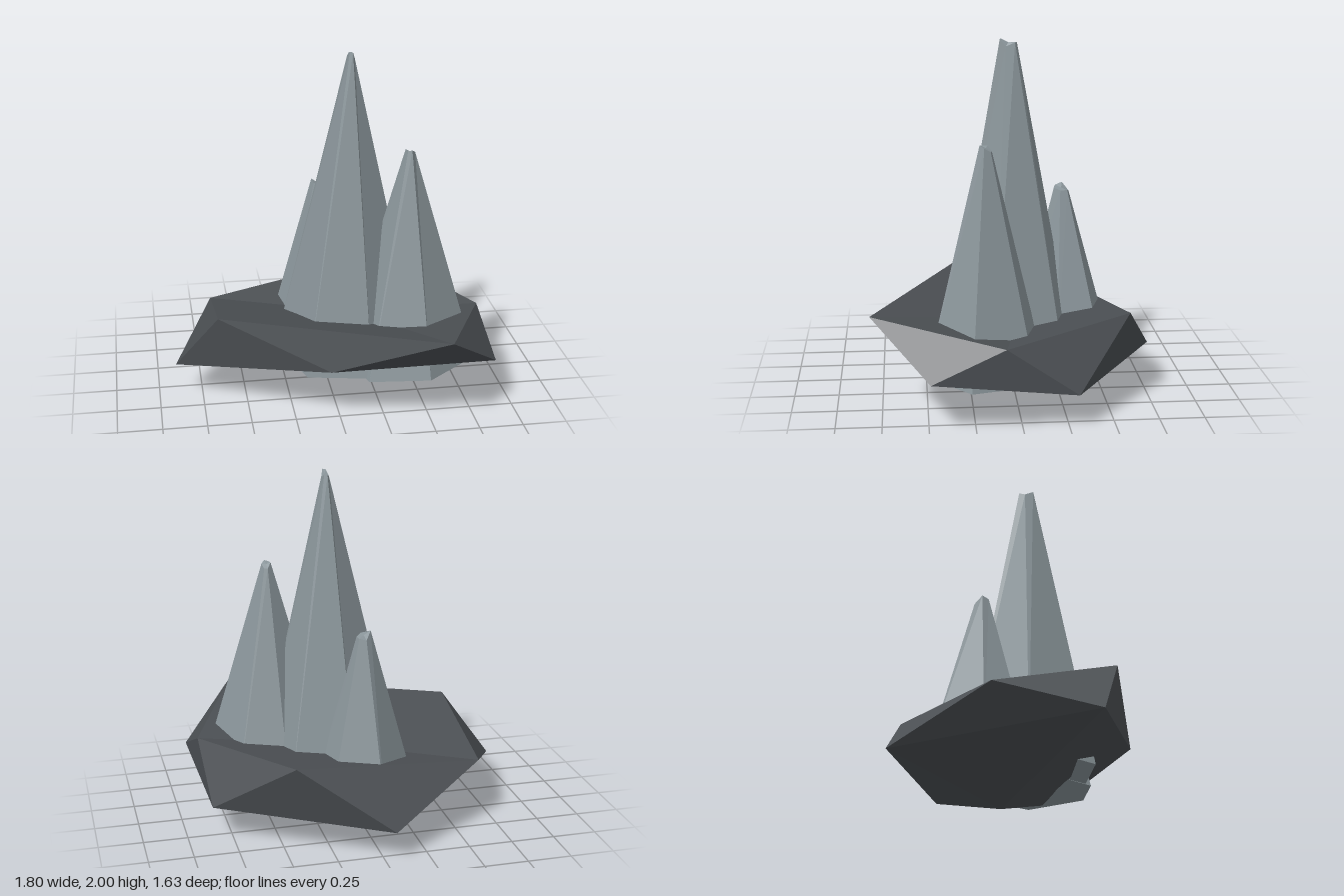
import * as THREE from 'three';

const rockMat = new THREE.MeshStandardMaterial({ color: 0x4b4f53 });
rockMat.name = 'darkRock';
const crystalMat = new THREE.MeshStandardMaterial({ color: 0x8a959a });
crystalMat.name = 'greyCrystal';

// Faceted mesh from a list of triangles, each a trio of [x, y, z] points
function facetedMesh(name, triangles, material) {
  const geometry = new THREE.BufferGeometry();
  geometry.setAttribute('position', new THREE.Float32BufferAttribute(triangles.flat(2), 3));
  geometry.computeVertexNormals(); // unshared corners give flat facets
  const mesh = new THREE.Mesh(geometry, material);
  mesh.name = name;
  return mesh;
}

// Rock: a distorted icosahedron with a top point, two rings of five and a bottom point
function makeRock() {
  const top = [0.13, 0.4, -0.04], bottom = [0.26, 0, -0.08];
  const upper = [
    [-0.66, 0.37, -0.42], [-0.66, 0.545, 0.27], [0.57, 0.56, 0.81],
    [0.88, 0.46, 0.09], [0.45, 0.51, -0.63],
  ];
  const lower = [
    [-0.9, 0.195, 0.1], [-0.06, 0.32, 0.58], [0.9, 0.28, 0.49],
    [0.86, 0.19, -0.3], [-0.06, 0.165, -0.82],
  ];
  const tris = [];
  for (let i = 0; i < 5; i++) {
    const j = (i + 1) % 5;
    tris.push(
      [top, upper[i], upper[j]],
      [upper[i], lower[i], upper[j]],
      [lower[i], lower[j], upper[j]],
      [bottom, lower[j], lower[i]],
    );
  }
  return facetedMesh('rockBase', tris, rockMat);
}

// Crystal: six-sided spike from a base ring of [x, y, z] to a small chipped tip
function makeCrystal(name, { base, center, tip, tipScale, tipHeights }) {
  const crown = base.map(([x, , z], i) => [
    tip[0] + (x - center[0]) * tipScale[0],
    tipHeights[i],
    tip[1] + (z - center[1]) * tipScale[1],
  ]);
  const mean = tipHeights.reduce((a, b) => a + b) / 6;
  const tipMid = [tip[0], mean, tip[1]];
  const baseMid = [center[0], 0.18, center[1]];
  const tris = [];
  for (let i = 0; i < 6; i++) {
    const j = (i + 1) % 6;
    tris.push(
      [base[i], base[j], crown[j]],
      [base[i], crown[j], crown[i]],
      [tipMid, crown[i], crown[j]],
      [baseMid, base[j], base[i]],
    );
  }
  return facetedMesh(name, tris, crystalMat);
}

const crystals = {
  tallCrystal: {
    center: [0.12, 0.02], tip: [0.13, 0.025], tipScale: [0.045, 0.125],
    base: [[-0.3, 0.18, -0.1], [-0.16, 0.17, 0.33], [0.2, 0.17, 0.4],
      [0.53, 0.18, 0.14], [0.41, 0.18, -0.27], [0.04, 0.18, -0.36]],
    tipHeights: [1.97, 2.0, 2.0, 1.96, 1.98, 1.98],
  },
  middleCrystal: {
    center: [0.44, 0.165], tip: [0.443, 0.17], tipScale: [0.065, 0.1],
    base: [[0.18, 0.165, 0.43], [0.52, 0.19, 0.51], [0.83, 0.2, 0.27],
      [0.68, 0.18, -0.09], [0.39, 0.18, -0.16], [0.07, 0.18, 0.06]],
    tipHeights: [1.46, 1.465, 1.45, 1.43, 1.43, 1.46],
  },
  shortCrystal: {
    center: [-0.015, -0.3], tip: [-0.01, -0.29], tipScale: [0.13, 0.15],
    base: [[-0.06, 0.18, -0.59], [-0.31, 0.18, -0.35], [-0.25, 0.18, -0.08],
      [0.03, 0.18, -0.01], [0.28, 0.18, -0.24], [0.24, 0.18, -0.51]],
    tipHeights: [1.11, 1.155, 1.14, 1.13, 1.12, 1.12],
  },
};

export function createModel() {
  const model = new THREE.Group();
  model.name = 'crystalCluster';
  model.add(makeRock());
  for (const [name, spec] of Object.entries(crystals)) model.add(makeCrystal(name, spec));
  return model;
}
